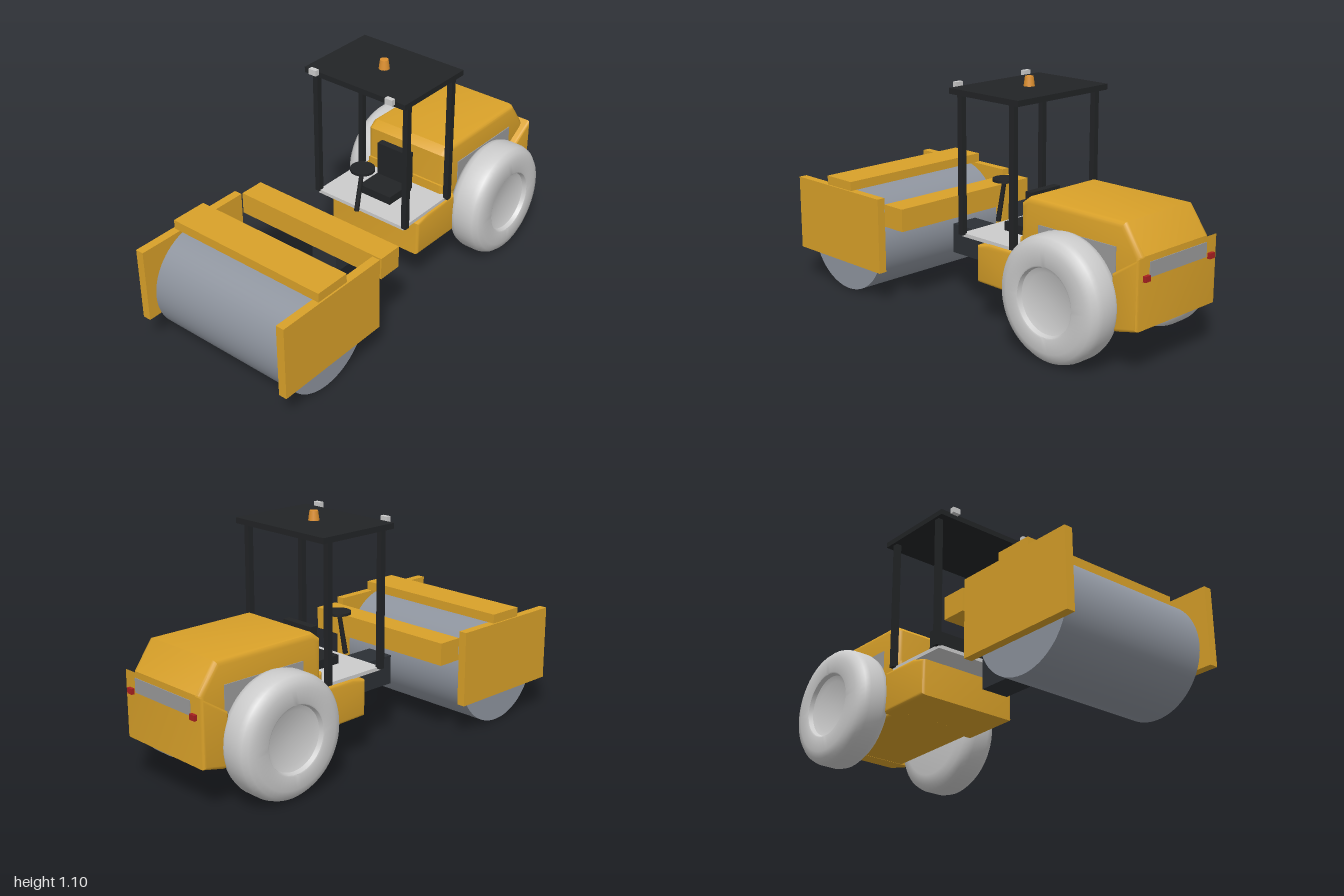
import * as THREE from 'three';
import { toCreasedNormals } from 'three/addons/utils/BufferGeometryUtils.js';

const paint = (color) => new THREE.MeshStandardMaterial({ color });

export function createModel() {
  const model = new THREE.Group();
  const yellow = paint(0xd9a129), dark = paint(0x222426), hitchGrey = paint(0x2c3035);
  const grey = paint(0xcccccc), steel = paint(0x8e949e), vent = paint(0x9a9a9a);
  const red = paint(0xa82020), orange = paint(0xdd9030);

  function add(name, geometry, material, x = 0, y = 0, z = 0) {
    const mesh = new THREE.Mesh(geometry, material);
    mesh.name = name;
    mesh.position.set(x, y, z);
    model.add(mesh);
    return mesh;
  }
  // Box given by its lower and upper limits on each axis
  function box(name, material, [x0, x1], [y0, y1], [z0, z1]) {
    return add(name, new THREE.BoxGeometry(x1 - x0, y1 - y0, z1 - z0), material,
      (x0 + x1) / 2, (y0 + y1) / 2, (z0 + z1) / 2);
  }
  // Side profile of [z, y] points, extruded across x with rounded edges
  function sideBody(name, material, points, halfWidth, bevel) {
    const shape = new THREE.Shape(points.map(([z, y]) => new THREE.Vector2(z, y)));
    const depth = 2 * (halfWidth - bevel);
    const geometry = new THREE.ExtrudeGeometry(shape, {
      depth, bevelEnabled: true, bevelSize: bevel, bevelThickness: bevel,
      bevelOffset: -bevel, bevelSegments: 3,
    });
    geometry.translate(0, 0, -depth / 2).rotateY(-Math.PI / 2);
    return add(name, toCreasedNormals(geometry, 0.6), material);
  }

  // Front drum and its frame
  const drum = add('drum', new THREE.CylinderGeometry(0.255, 0.255, 0.75, 64), steel, 0, 0.262, 0.7);
  drum.rotation.z = Math.PI / 2;
  for (const s of [-1, 1]) {
    const plate = box('drumSidePlate', yellow, [0.38, 0.42], [0.16, 0.515], [0.405, 1]);
    plate.position.x *= s;
  }
  box('drumTopBeam', yellow, [-0.412, 0.412], [0.515, 0.558], [0.61, 0.785]);
  box('drumRearBeam', yellow, [-0.404, 0.404], [0.39, 0.495], [0.255, 0.375]);
  box('articulationHitch', hitchGrey, [-0.07, 0.07], [0.215, 0.355], [0.105, 0.28]);

  // Rear chassis: wide ahead of the wheels, narrow between them
  sideBody('chassisFront', yellow,
    [[-0.075, 0.2], [-0.36, 0.195], [-0.36, 0.392], [-0.15, 0.392], [-0.075, 0.37]], 0.258, 0.015);
  sideBody('chassisRear', yellow,
    [[-0.3, 0.196], [-0.92, 0.185], [-0.92, 0.45], [-0.3, 0.45]], 0.22, 0.015);
  sideBody('hood', yellow,
    [[-0.31, 0.38], [-0.31, 0.605], [-0.35, 0.636], [-0.88, 0.636], [-0.97, 0.51], [-0.97, 0.3], [-0.9, 0.3]],
    0.224, 0.025);
  sideBody('counterweight', yellow,
    [[-0.85, 0.185], [-0.85, 0.425], [-0.985, 0.513], [-0.985, 0.21], [-0.88, 0.185]], 0.26, 0.015);

  // Vents and tail lights
  box('rearVent', vent, [-0.185, 0.185], [0.425, 0.49], [-0.988, -0.97]);
  for (const s of [-1, 1]) {
    const sideVent = box('sideVent', vent, [0.215, 0.228], [0.38, 0.53], [-0.845, -0.42]);
    const tail = box('tailLight', red, [0.194, 0.226], [0.415, 0.44], [-1, -0.98]);
    sideVent.position.x *= s;
    tail.position.x *= s;
  }

  // Rear wheels: rounded tyre with a dished hub, lathed as [radius, offset]
  const wheelProfile = [
    [0, -0.09], [0.2, -0.09], [0.245, -0.082], [0.268, -0.06], [0.275, -0.035],
    [0.275, 0.035], [0.268, 0.06], [0.25, 0.08], [0.22, 0.088], [0.156, 0.093],
    [0.15, 0.09], [0.143, 0.07], [0.12, 0.06], [0, 0.055],
  ].map(([r, h]) => new THREE.Vector2(r, h));
  const wheelGeometry = toCreasedNormals(new THREE.LatheGeometry(wheelProfile, 56), 0.7);
  for (const s of [-1, 1]) {
    const wheel = add('rearWheel', wheelGeometry, grey, s * 0.309, 0.278, -0.615);
    wheel.rotation.z = -s * Math.PI / 2;
  }

  // Operator platform
  box('floor', grey, [-0.25, 0.25], [0.388, 0.405], [-0.31, 0.025]);
  box('seatCushion', dark, [-0.09, 0.09], [0.405, 0.445], [-0.24, -0.08]);
  box('seatBack', dark, [-0.09, 0.09], [0.415, 0.61], [-0.248, -0.212]);
  add('steeringWheel', new THREE.CylinderGeometry(0.057, 0.057, 0.012, 32), dark, 0, 0.607, 0.007);
  const column = add('steeringColumn', new THREE.CylinderGeometry(0.01, 0.012, 0.205, 16), dark, 0, 0.504, 0.03);
  column.rotation.x = -0.2;

  // Canopy with posts, work lights and beacon
  for (const s of [-1, 1]) {
    for (const z of [0.017, -0.3]) {
      add('canopyPost', new THREE.BoxGeometry(0.026, 0.635, 0.027), dark, s * 0.254, 0.717, z);
    }
    add('workLight', new THREE.BoxGeometry(0.04, 0.027, 0.022), grey, s * 0.212, 1.06, 0.085);
  }
  box('canopyRoof', dark, [-0.28, 0.28], [1.03, 1.056], [-0.35, 0.068]);
  add('beacon', new THREE.CylinderGeometry(0.019, 0.025, 0.045, 24), orange, 0, 1.077, -0.143);

  return model;
}
